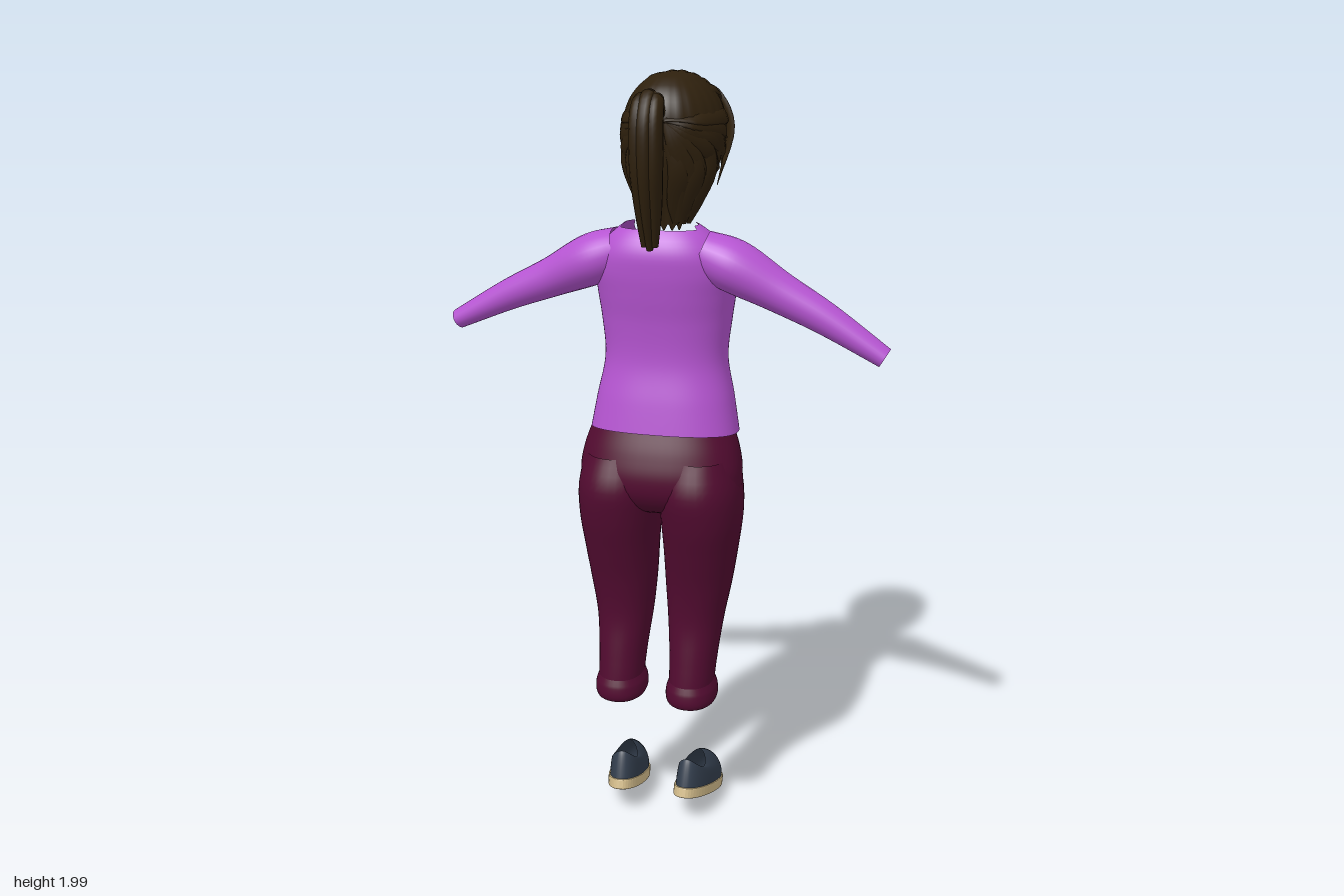
import * as THREE from 'three';

const mat = (name, color) => {
  const m = new THREE.MeshStandardMaterial({ color, side: THREE.DoubleSide });
  m.name = name;
  return m;
};

// Smooth grid surface from fn(u, v); u wraps around
function surface(fn, nu, nv) {
  const pos = [], idx = [];
  for (let j = 0; j <= nv; j++)
    for (let i = 0; i < nu; i++) pos.push(...fn(i / nu, j / nv));
  for (let j = 0; j < nv; j++)
    for (let i = 0; i < nu; i++) {
      const a = j * nu + i, b = j * nu + (i + 1) % nu;
      idx.push(a, a + nu, b, b, a + nu, b + nu);
    }
  const g = new THREE.BufferGeometry();
  g.setAttribute('position', new THREE.Float32BufferAttribute(pos, 3));
  g.setIndex(idx);
  g.computeVertexNormals();
  return g;
}

// Smooth lookup in rows of [key, ...values], keys ascending
function table(rows) {
  const n = rows[0].length - 1;
  const it = new THREE.CubicInterpolant(rows.map(r => r[0]), rows.flatMap(r => r.slice(1)), n, new Float32Array(n));
  return t => Array.from(it.evaluate(t));
}

const pw = (v, n) => Math.sign(v) * Math.abs(v) ** (2 / n);

// Point on an oval section: angle a = 0 faces -z (the chest side)
function oval(a, y, cx, hw, zBack, zFront, n = 2) {
  return [cx + hw * pw(Math.sin(a), n), y, (zBack + zFront) / 2 - (zBack - zFront) / 2 * pw(Math.cos(a), n)];
}

// Oval tube through rows of [x, y, z, radiusAcross, radiusAlongRef]
function limb(rows, ref, nu = 20, nv = 24) {
  const at = table(rows.map((r, i) => [i / (rows.length - 1), ...r]));
  return surface((u, v) => {
    const p = at(v);
    const q0 = at(Math.max(0, v - 0.02)), q1 = at(Math.min(1, v + 0.02));
    const t = new THREE.Vector3(q1[0] - q0[0], q1[1] - q0[1], q1[2] - q0[2]).normalize();
    const b = new THREE.Vector3().crossVectors(t, ref).normalize();
    const n = new THREE.Vector3().crossVectors(b, t);
    const c = Math.cos(u * Math.PI * 2) * p[3], s = Math.sin(u * Math.PI * 2) * p[4];
    return [p[0] + b.x * c + n.x * s, p[1] + b.y * c + n.y * s, p[2] + b.z * c + n.z * s];
  }, nu, nv);
}

export function createModel() {
  const root = new THREE.Group();
  const shirtMat = mat('purple knit', 0xb655d2), pantsMat = mat('maroon cloth', 0x520b30);
  const hairMat = mat('dark brown hair', 0x2e200d), shoeMat = mat('slate canvas', 0x333e4d);
  const soleMat = mat('tan rubber', 0xd2bb8a);
  const add = (name, geo, m, parent = root) => {
    const mesh = new THREE.Mesh(geo, m);
    mesh.name = name;
    parent.add(mesh);
    return mesh;
  };
  const Z = new THREE.Vector3(0, 0, 1);
  const turn = u => (u > 0.5 ? u - 1 : u) * Math.PI * 2; // -PI..PI

  // Shirt body with tilted hem and V neckline: y, half width, back z, front z
  const torso = table([
    [1.10, 0.192, 0.122, -0.146], [1.2, 0.174, 0.105, -0.15], [1.3, 0.155, 0.086, -0.148],
    [1.4, 0.163, 0.092, -0.165], [1.47, 0.172, 0.105, -0.175], [1.53, 0.175, 0.114, -0.158],
    [1.58, 0.155, 0.114, -0.115], [1.62, 0.118, 0.095, -0.06], [1.645, 0.085, 0.07, -0.025]]);
  add('shirtBody', surface((u, v) => {
    const a = turn(u), hem = 1.115 - 0.015 * Math.cos(a);
    const top = 1.64 - 0.125 * Math.max(0, 1 - Math.abs(a) / 0.9) - (Math.abs(a) > 2 ? 0.008 : 0);
    const y = hem + (top - hem) * v;
    const p = oval(a, y, -0.003, ...torso(y), 2.4);
    if (Math.cos(a) > 0) // bust
      p[2] -= 0.034 * Math.cos(a) * Math.exp(-(((Math.abs(p[0]) - 0.075) / 0.055) ** 2) - ((y - 1.465) / 0.06) ** 2);
    return p;
  }, 72, 44), shirtMat);

  // Sleeves, the right hand slightly higher and further forward
  for (const s of [1, -1]) {
    const f = s > 0 ? 0 : 1;
    add(s > 0 ? 'leftSleeve' : 'rightSleeve', limb([
      [s * 0.10, 1.575, 0.03, 0.055, 0.06],
      [s * 0.18, 1.543, 0.024 - f * 0.006, 0.064, 0.075],
      [s * 0.29, 1.487 + f * 0.004, 0.025 - f * 0.018, 0.05, 0.056],
      [s * 0.41, 1.426 + f * 0.012, 0.028 - f * 0.03, 0.039, 0.043],
      [s * 0.552, 1.342 + f * 0.024, 0.032 - f * 0.041, 0.025, 0.032]], Z, 28, 30), shirtMat);
  }

  // Trouser seat, closing at the crotch: y, half width, back z, front z
  const seat = table([
    [0.89, 0.01, 0.02, -0.02], [0.92, 0.13, 0.095, -0.09], [0.96, 0.2, 0.132, -0.118], [1.01, 0.209, 0.142, -0.128],
    [1.07, 0.2, 0.13, -0.13], [1.14, 0.176, 0.105, -0.125]]);
  add('trouserSeat', surface((u, v) => {
    const a = turn(u), y = 0.89 + 0.25 * v;
    return oval(a, y, -0.007, ...seat(y), 2.3);
  }, 56, 24), pantsMat);

  // Trouser legs with rolled cuffs: y, inner x, outer x, back z, front z
  const leg = [
    [0.435, 0.038, 0.156, 0.09, -0.066], [0.5, 0.034, 0.16, 0.082, -0.084], [0.6, 0.024, 0.17, 0.072, -0.106],
    [0.7, 0.016, 0.187, 0.085, -0.117], [0.8, 0.011, 0.201, 0.112, -0.124], [0.9, 0.004, 0.212, 0.14, -0.127],
    [0.98, -0.002, 0.21, 0.15, -0.129], [1.06, 0.01, 0.19, 0.125, -0.115]];
  const legAt = table(leg);
  // cuff profile: height, outward offset
  const cuffAt = table([[0, 0.435, -0.002], [0.1, 0.422, 0.003], [0.35, 0.405, 0.008], [0.6, 0.38, 0.008],
    [0.75, 0.368, 0], [0.85, 0.372, -0.012], [1, 0.42, -0.014]]);
  for (const s of [1, -1]) {
    const section = (a, y, off) => {
      const [xi, xo, zb, zf] = legAt(y);
      const cx = s * (xi + xo) / 2 - 0.007 - Math.max(0, 0.9 - y) * 0.026;
      return oval(a, y, cx, (xo - xi) / 2 + off, zb + off, zf - off, 2.2);
    };
    const side = s > 0 ? 'left' : 'right';
    add(side + 'TrouserLeg', surface((u, v) => section(turn(u), 0.43 + 0.63 * v, 0), 40, 30), pantsMat);
    add(side + 'Cuff', surface((u, v) => {
      const [y, off] = cuffAt(v), p = section(turn(u), 0.435, off);
      p[1] = y;
      return p;
    }, 40, 16), pantsMat);
  }

  // Shoes: low slip-ons with heels raised
  const outline = (a, k = 1) => [(0.049 + 0.005 * Math.cos(a)) * k * pw(Math.sin(a), 2.4), -0.138 * k * pw(Math.cos(a), 2.2)];
  const soleShape = new THREE.Shape(Array.from({ length: 48 }, (_, i) => {
    const [x, z] = outline(i / 48 * Math.PI * 2);
    return new THREE.Vector2(x, -z);
  }));
  const soleGeo = new THREE.ExtrudeGeometry(soleShape, { depth: 0.022, bevelSize: 0.003, bevelThickness: 0.003, bevelSegments: 2 });
  soleGeo.rotateX(-Math.PI / 2).translate(0, 0.003, 0);
  const upperGeo = surface((u, v) => {
    const a = turn(u), [x, z] = outline(a, 0.985), c = Math.cos(a);
    const k = v ** 1.7, front = Math.max(0, c);
    const rise = 1 - (1 - v) ** (1.9 - 0.3 * front);
    const top = 0.08 + (c > 0 ? 0.034 : 0.024) * c * c;
    return [x * (1 - k) + 0.032 * Math.sin(a) * k, 0.026 + (top - 0.026) * rise, z * (1 - k) + (0.072 - 0.054 * c) * k];
  }, 48, 16);
  for (const s of [1, -1]) {
    const shoe = new THREE.Group();
    shoe.name = s > 0 ? 'leftShoe' : 'rightShoe';
    add('sole', soleGeo, soleMat, shoe);
    add('upper', upperGeo, shoeMat, shoe);
    shoe.rotation.set(-0.31, -s * 0.09, 0, 'YXZ');
    shoe.position.set(s * 0.1 - 0.024, 0.046, -0.066);
    root.add(shoe);
  }

  // Hair shell open at the face: y, half width, back z, front z
  const hair = new THREE.Group();
  hair.name = 'hair';
  root.add(hair);
  const head = table([
    [1.62, 0.045, 0.055, 0.0], [1.68, 0.068, 0.07, -0.02], [1.73, 0.098, 0.09, -0.08], [1.78, 0.113, 0.108, -0.13],
    [1.85, 0.121, 0.12, -0.165], [1.91, 0.113, 0.118, -0.165], [1.95, 0.092, 0.098, -0.14],
    [1.975, 0.066, 0.068, -0.105], [1.99, 0.038, 0.03, -0.065], [1.995, 0.002, -0.014, -0.018]]);
  const hairline = table([[0, 1.9], [0.6, 1.88], [1.1, 1.8], [1.6, 1.78], [1.9, 1.71], [2.2, 1.655], [3.15, 1.635]]);
  const headPoint = (a, y, off = 0) => {
    const [hw, zb, zf] = head(y);
    return oval(a, y, 0.018, hw + off, zb + off, zf - off, 2.1);
  };
  add('hairShell', surface((u, v) => {
    const a = turn(u), low = hairline(Math.abs(a))[0] + 0.008 * Math.sin(a * 17);
    return headPoint(a, 1.995 - (1.995 - low) * v ** 1.6, 0.003 * Math.abs(Math.sin(a * 12)) * v);
  }, 120, 30), hairMat, hair);

  const centre = new THREE.Vector3(0.018, 1.84, -0.02);
  const lock = (name, pts, w, t, taper = [0.5, 1, 1, 0.1]) => {
    const mid = new THREE.Vector3(...pts[1]).sub(centre).normalize();
    add(name, limb(pts.map((p, i) => [...p, w * taper[i], t * taper[i]]), mid, 8, 14), hairMat, hair);
  };
  for (const s of [1, -1]) {
    // Locks combed back to the ponytail
    for (let i = 0; i < 8; i++) {
      const a = 0.65 + i * 0.27, y = hairline(a)[0] + 0.015;
      const pts = [0, 0.35, 0.7, 1].map(t => headPoint(s * (a + (3.05 - a) * t), y + (1.895 - y) * t ** 0.8, 0.001));
      lock('sideLock', pts, 0.02, 0.007, [0.7, 1, 0.8, 0.4]);
    }
    // Locks over the crown
    for (let i = 0; i < 4; i++) {
      const x = s * (0.012 + i * 0.024), d = 5 * x * x;
      lock('crownLock', [[x + 0.018, 1.925 - d, -0.158], [x + 0.018, 1.984 - d, -0.07],
        [x * 0.9 + 0.014, 1.972 - d, 0.04], [x * 0.3, 1.91, 0.115]], 0.015, 0.009, [0.7, 1, 1, 0.5]);
    }
    // Fringe swept to the temples
    for (let i = 0; i < 6; i++) {
      const a = 0.25 + i * 0.17;
      lock('fringeLock', [headPoint(s * a * 0.4, 1.962, 0), headPoint(s * a * 0.75, 1.93, 0.008),
        headPoint(s * a, 1.88 - i * 0.006, 0.014), headPoint(s * (a + 0.18), 1.84 - i * 0.022, 0.012)], 0.024, 0.008);
    }
    // Nape locks
    for (let i = 0; i < 3; i++) {
      const a = s * (2.0 + i * 0.4);
      lock('napeLock', [headPoint(a + s * 0.2, 1.84), headPoint(a, 1.77, 0.002), headPoint(a, 1.7, 0.002),
        headPoint(a - s * 0.1, 1.645)], 0.024, 0.008, [0.5, 1, 0.9, 0.3]);
    }
  }

  // Ponytail of overlapping strands
  for (let i = -1; i <= 1; i++) {
    const x = i * 0.016, b = Math.abs(i) * 0.008;
    add('ponytailStrand', limb([
      [x * 0.5, 1.9, 0.105, 0.014, 0.02], [x, 1.945 - b, 0.145, 0.02, 0.022], [x * 1.2, 1.89, 0.178 - b, 0.021, 0.029],
      [x * 1.2, 1.79, 0.178 - b, 0.02, 0.031], [x, 1.69, 0.16 - b, 0.016, 0.025],
      [x * 0.8, 1.595 + b, 0.14, 0.008, 0.01]], Z, 14, 28), hairMat, hair);
  }
  add('hairTie', new THREE.TorusGeometry(0.024, 0.009, 8, 20), hairMat, hair).position.set(0, 1.915, 0.122);

  return root;
}
